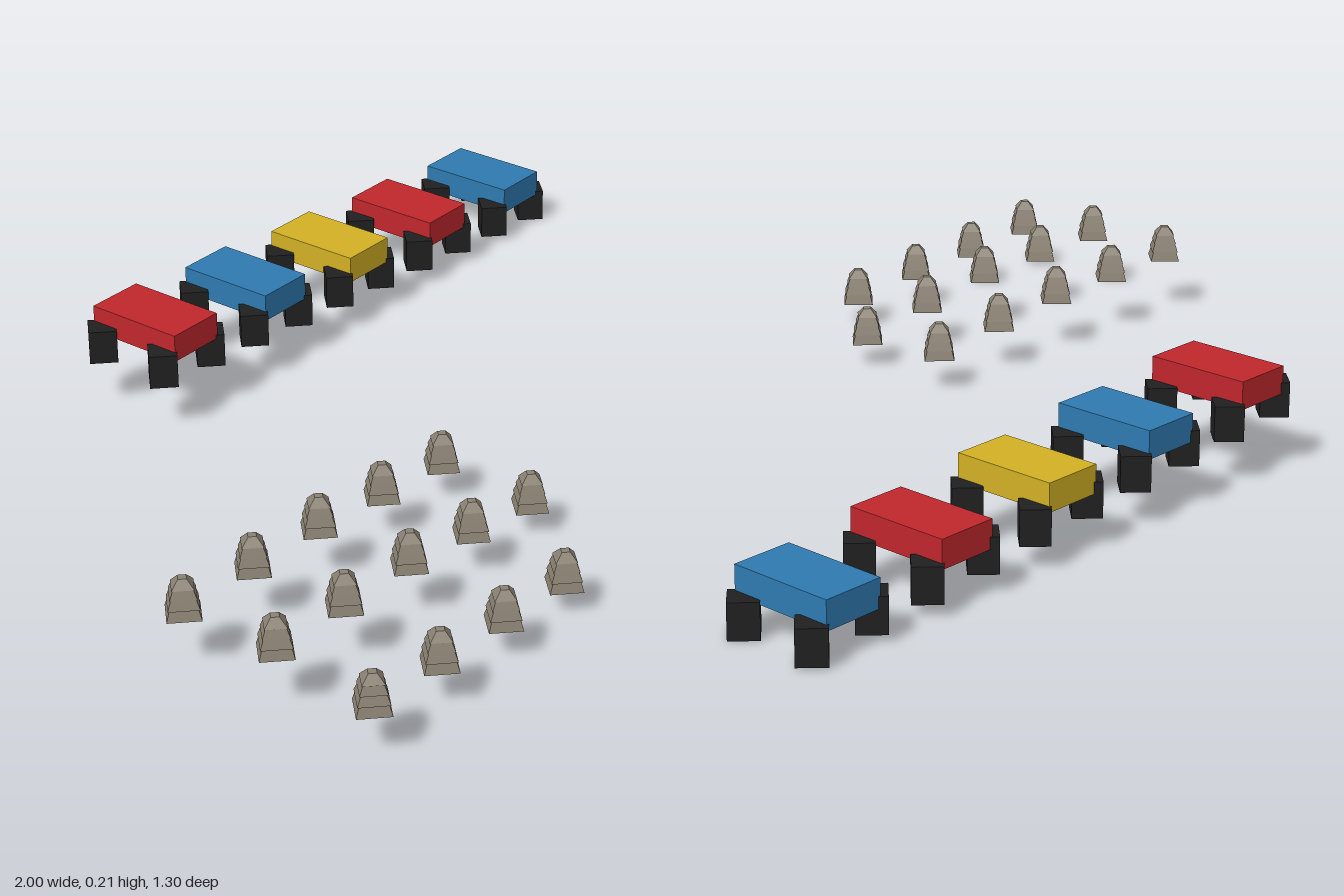
import * as THREE from 'three';

const material = (color) => {
  const m = new THREE.MeshStandardMaterial({ flatShading: true });
  m.color.set(color);
  return m;
};

const red = material(0xc0272d);
const blue = material(0x2f7ab0);
const yellow = material(0xd2b024);
const rubber = material(0x202020);
const stone = material(0x8a8172);

function addMesh(parent, name, geometry, mat, x, y, z) {
  const mesh = new THREE.Mesh(geometry, mat);
  mesh.name = name;
  mesh.position.set(x, y, z);
  parent.add(mesh);
  return mesh;
}

// Box body on four diamond-section wheels that follow the slope
const bodyGeometry = new THREE.BoxGeometry(0.13, 0.058, 0.223);
const wheelGeometry = new THREE.CylinderGeometry(0.041, 0.041, 0.072, 4);

function createCar(paint) {
  const car = new THREE.Group();
  car.name = 'car';
  addMesh(car, 'carBody', bodyGeometry, paint, 0, 0.092, 0);
  for (const sx of [-1, 1]) {
    for (const sz of [-1, 1]) {
      const y = 0.0435 - sx * 0.0058 - sz * 0.0016;
      addMesh(car, 'wheel', wheelGeometry, rubber, sx * 0.072, y, sz * 0.083);
    }
  }
  return car;
}

// Stone pile: four-sided tiers that shrink upwards, each overhung by the one below
const tiers = [
  // bottom radius, top radius, height
  [0.045, 0.037, 0.021],
  [0.041, 0.032, 0.019],
  [0.035, 0.026, 0.018],
  [0.029, 0.011, 0.017],
].map(([bottom, top, height]) => ({
  height,
  geometry: new THREE.CylinderGeometry(top, bottom, height, 4),
}));

function createStonePile() {
  const pile = new THREE.Group();
  pile.name = 'stonePile';
  let y = 0;
  for (const { geometry, height } of tiers) {
    addMesh(pile, 'stoneTier', geometry, stone, 0, y + height / 2, 0);
    y += height;
  }
  return pile;
}

export function createModel() {
  const model = new THREE.Group();
  model.name = 'carsAndStonePiles';

  // Row of cars stepping down the slope
  [red, blue, yellow, red, blue].forEach((paint, i) => {
    const car = createCar(paint);
    car.position.set(-0.246 + i * 0.283, (4 - i) * 0.0225, -0.526);
    model.add(car);
  });

  // Rows of stone piles, with the ground height under each
  const rows = [
    { z: 0.178, heights: [0.115, 0.11, 0.103, 0.085, 0.066] },
    { z: 0.391, heights: [0.12, 0.113, 0.105, 0.08, 0.052] },
    { z: 0.604, heights: [0.092, 0.078, 0.066, 0.051] },
  ];
  for (const { z, heights } of rows) {
    heights.forEach((y, i) => {
      const pile = createStonePile();
      pile.position.set(-0.955 + i * 0.189, y, z);
      model.add(pile);
    });
  }
  return model;
}
